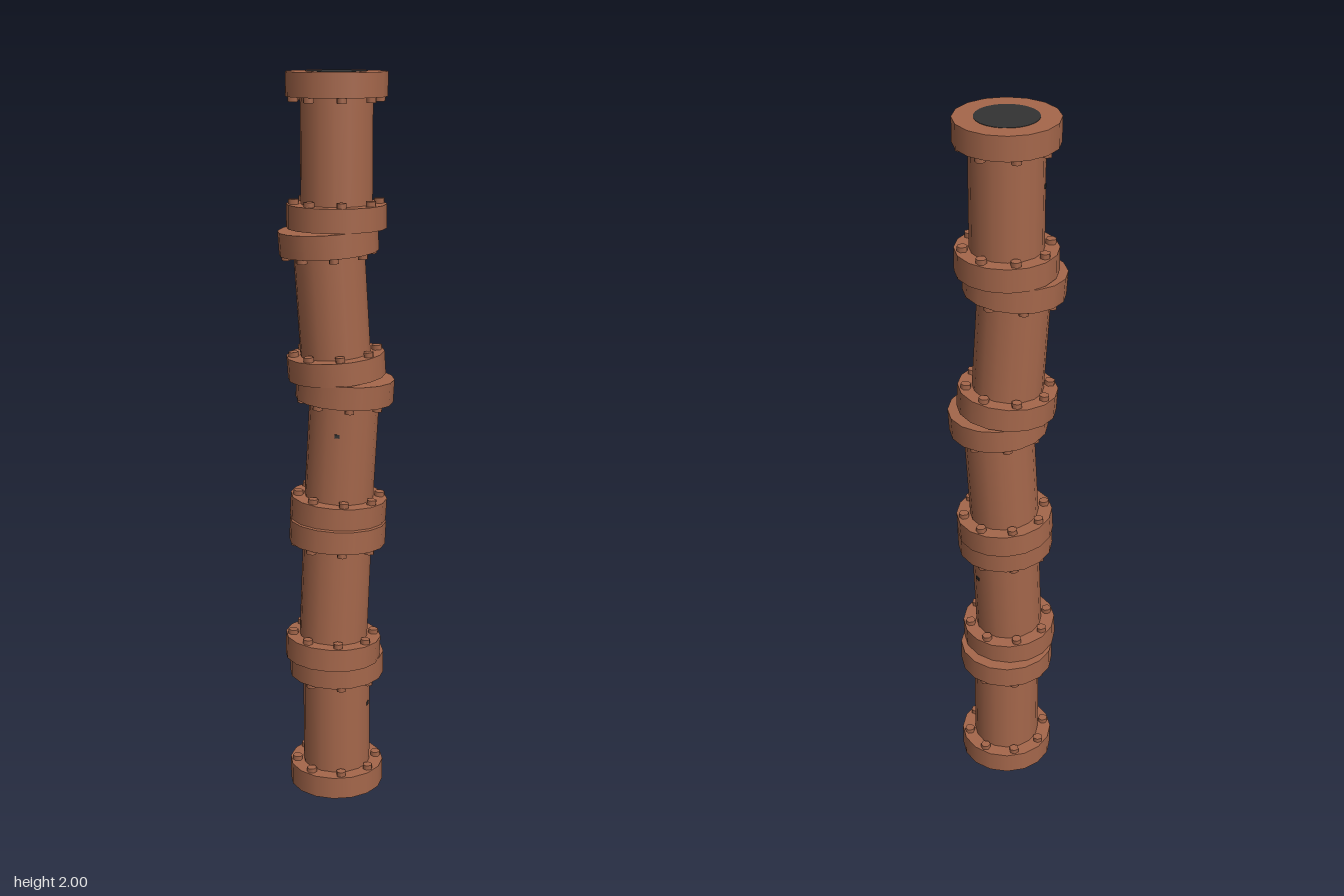
import * as THREE from 'three';

const LENGTH = 0.4, FLANGE_R = 0.133, FLANGE_H = 0.063, PIPE_R = 0.095, BORE_R = 0.081;
const BOLTS = 8, BOLT_RING = 0.113, BOLT_TURN = THREE.MathUtils.degToRad(-12);

export function createModel() {
  const rust = new THREE.MeshStandardMaterial({ color: 0xa5674b });
  rust.name = 'rustyCopper';
  const dark = new THREE.MeshStandardMaterial({ color: 0x333333 });
  dark.name = 'darkBore';

  const pipeGeo = new THREE.CylinderGeometry(PIPE_R, PIPE_R, LENGTH - FLANGE_H, 16, 1, true);
  const flangeGeo = new THREE.CylinderGeometry(FLANGE_R, FLANGE_R, FLANGE_H, 16);
  const boltGeo = new THREE.CylinderGeometry(0.014, 0.014, 0.026, 6);
  const boreGeo = new THREE.CylinderGeometry(BORE_R, BORE_R, 0.002, 24);
  const pitGeo = new THREE.BoxGeometry(0.014, 0.01, 0.004);

  const add = (parent, name, geo, mat, x = 0, y = 0, z = 0) => {
    const mesh = new THREE.Mesh(geo, mat);
    mesh.name = name;
    mesh.position.set(x, y, z);
    parent.add(mesh);
    return mesh;
  };

  // One straight pipe with a bolted flange and a dark bore at each end
  function pipeSection() {
    const section = new THREE.Group();
    add(section, 'pipe', pipeGeo, rust);
    for (const end of [-1, 1]) {
      add(section, 'flange', flangeGeo, rust, 0, end * (LENGTH - FLANGE_H) / 2, 0);
      add(section, 'bore', boreGeo, dark, 0, end * LENGTH / 2, 0);
      for (let i = 0; i < BOLTS; i++) {
        const a = BOLT_TURN + (i / BOLTS) * Math.PI * 2;
        const bolt = add(section, 'bolt', boltGeo, rust, Math.sin(a) * BOLT_RING,
          end * (LENGTH / 2 - FLANGE_H), Math.cos(a) * BOLT_RING);
        bolt.rotation.y = a;
      }
    }
    return section;
  }

  // Sections from bottom to top, knocked slightly out of line; pit: [height, degrees]
  const sections = [
    { x: 0, z: -0.012, rx: 0, rz: 0, pit: [0.05, 50] },
    { x: -0.012, z: 0.012, rx: -0.012, rz: -0.045, pit: [0.05, 97] },
    { x: 0.0115, z: -0.003, rx: 0.02, rz: -0.05, pit: [0.055, -28] },
    { x: -0.012, z: -0.012, rx: 0, rz: 0.065 },
    { x: 0, z: -0.012, rx: 0, rz: 0, pit: [0.03, 238] },
  ];

  const model = new THREE.Group();
  model.name = 'crookedPipe';
  sections.forEach((s, i) => {
    const section = pipeSection();
    section.name = 'pipeSection' + (i + 1);
    section.position.set(s.x, LENGTH * (i + 0.5), s.z);
    section.rotation.set(s.rx, 0, s.rz);
    // Small dark corrosion pit on the wall
    if (s.pit) {
      const a = THREE.MathUtils.degToRad(s.pit[1]);
      const r = PIPE_R - 0.001;
      add(section, 'corrosionPit', pitGeo, dark, Math.sin(a) * r, s.pit[0], Math.cos(a) * r).rotation.y = a;
    }
    model.add(section);
  });
  return model;
}
